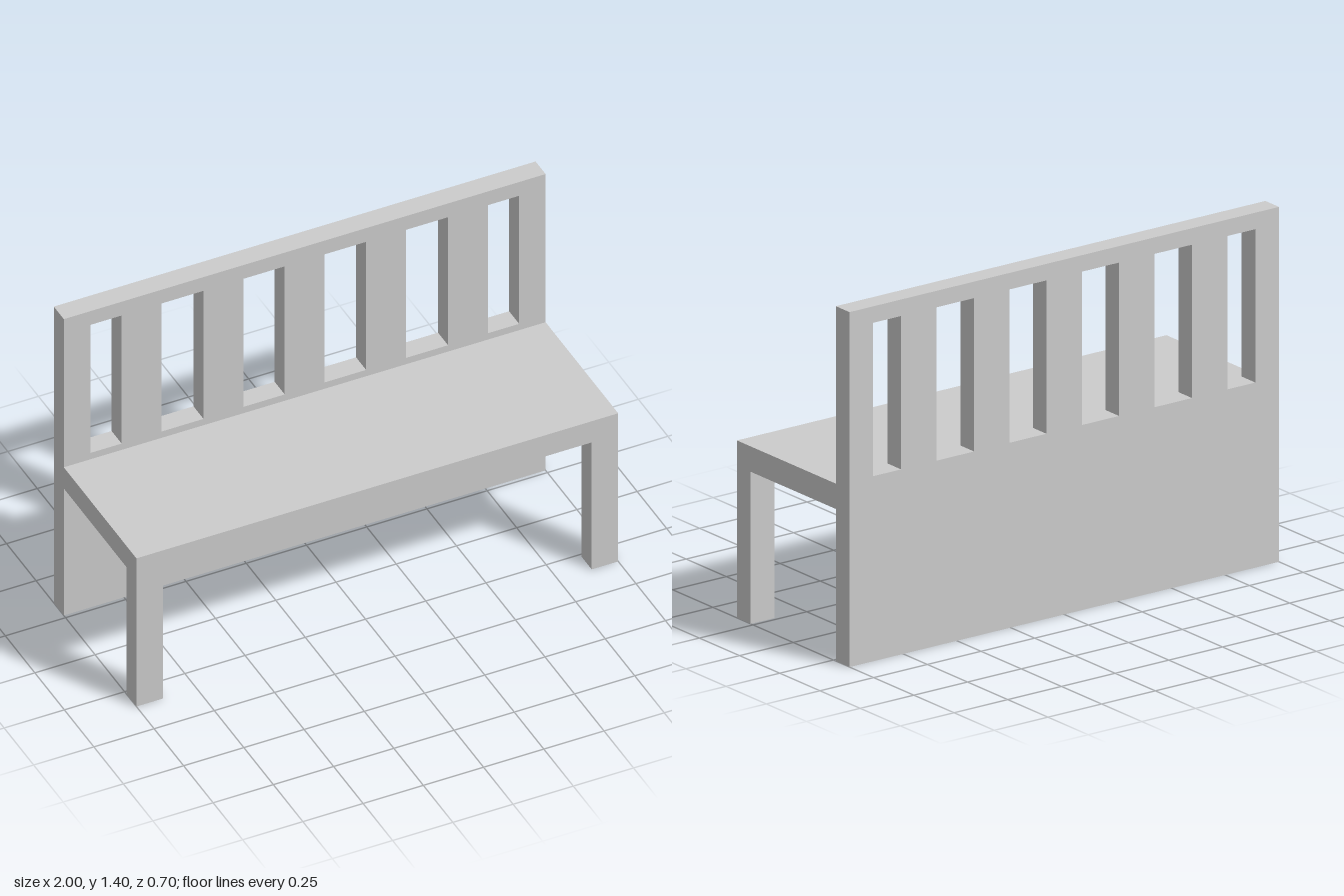
import * as THREE from 'three';

const material = new THREE.MeshStandardMaterial({ color: 0xcccccc, flatShading: true });

// Box given by its minimum and maximum corners
function block(name, [x0, y0, z0], [x1, y1, z1]) {
  const geometry = new THREE.BoxGeometry(x1 - x0, y1 - y0, z1 - z0);
  const mesh = new THREE.Mesh(geometry, material);
  mesh.position.set((x0 + x1) / 2, (y0 + y1) / 2, (z0 + z1) / 2);
  mesh.name = name;
  return mesh;
}

// Traces a rectangle into a Shape or Path
function rectangle(path, x0, y0, x1, y1) {
  path.moveTo(x0, y0);
  path.lineTo(x1, y0);
  path.lineTo(x1, y1);
  path.lineTo(x0, y1);
  path.closePath();
  return path;
}

export function createModel() {
  const bench = new THREE.Group();
  bench.name = 'bench';

  const front = 0.35, back = -0.35, thickness = 0.085;
  const seatBottom = 0.6, seatTop = 0.7, height = 1.4;
  const legInner = 0.89;

  // Solid back panel down to the floor, with mirrored slots above the seat
  const panel = rectangle(new THREE.Shape(), -1, 0, 1, height);
  for (const [inner, outer] of [[0.083, 0.255], [0.42, 0.595], [0.76, legInner]]) {
    panel.holes.push(rectangle(new THREE.Path(), inner, 0.73, outer, 1.335));
    panel.holes.push(rectangle(new THREE.Path(), -outer, 0.73, -inner, 1.335));
  }
  const backrest = new THREE.Mesh(
    new THREE.ExtrudeGeometry(panel, { depth: thickness, bevelEnabled: false }), material);
  backrest.position.z = back;
  backrest.name = 'backPanel';
  bench.add(backrest);

  // Seat slab
  bench.add(block('seat', [-1, seatBottom, back + thickness], [1, seatTop, front]));

  // Front legs, flush with the seat corners
  bench.add(block('leftFrontLeg', [legInner, 0, front - thickness], [1, seatBottom, front]));
  bench.add(block('rightFrontLeg', [-1, 0, front - thickness], [-legInner, seatBottom, front]));

  return bench;
}
